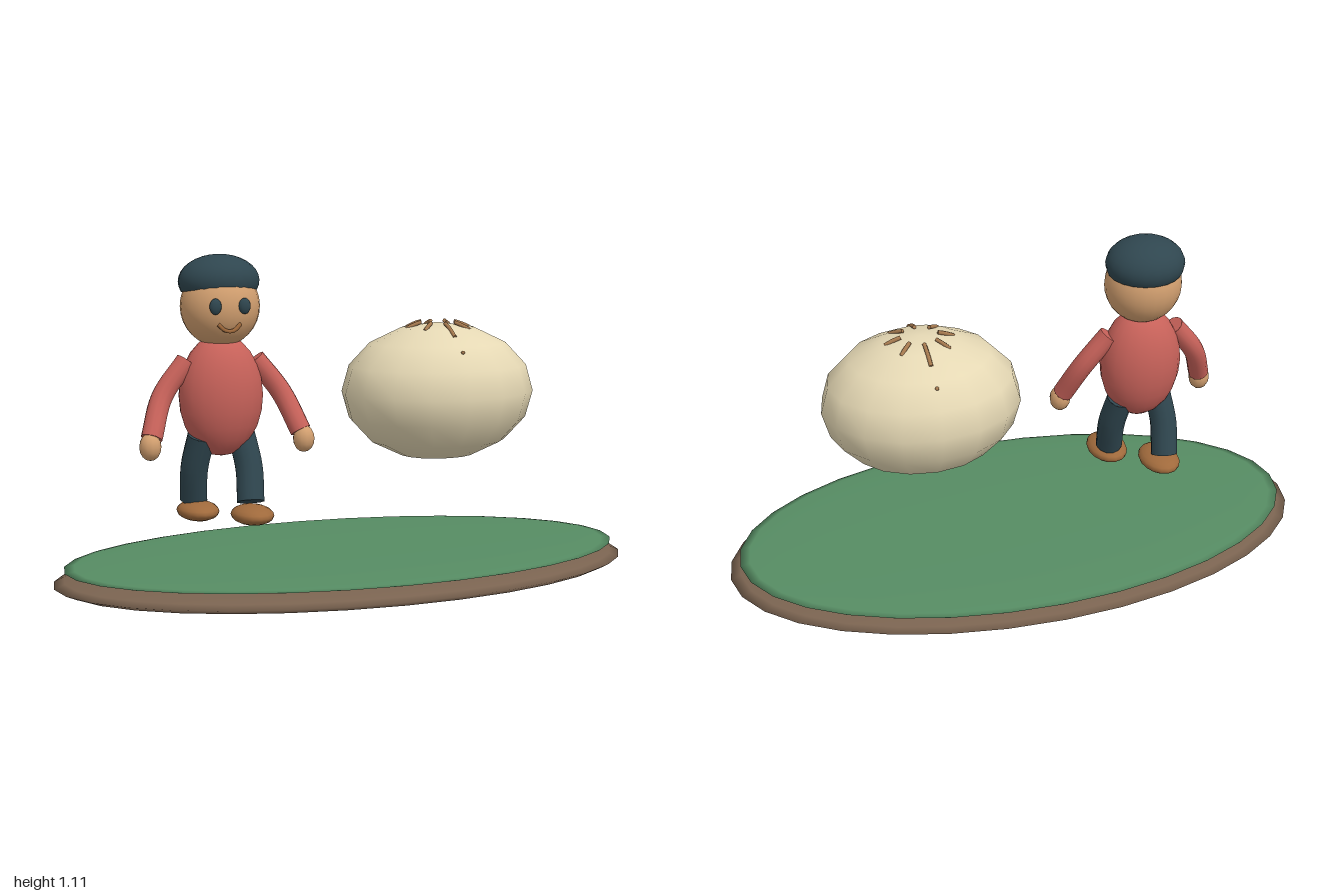
import * as THREE from 'three';

const mat = (color) => new THREE.MeshStandardMaterial({ color, side: THREE.DoubleSide });
const M = {
  soil: mat(0x7a6350), grass: mat(0x568c63), skin: mat(0xd3a070), shirt: mat(0xc8625a),
  navy: mat(0x2f464f), shoe: mat(0xa06a3c), dough: mat(0xe5d8b4), crease: mat(0xa87b50),
};

function add(parent, name, geometry, material, pos = [0, 0, 0]) {
  const mesh = new THREE.Mesh(geometry, material);
  mesh.name = name;
  mesh.position.set(...pos);
  parent.add(mesh);
  return mesh;
}

function ellipsoid(parent, name, material, pos, radii, w = 20, h = 14, theta = Math.PI) {
  const mesh = add(parent, name, new THREE.SphereGeometry(1, w, h, 0, Math.PI * 2, 0, theta), material, pos);
  mesh.scale.set(...radii);
  return mesh;
}

// Round limb through a few points, closed by flat discs
function limb(parent, name, material, points, radius, sides = 12) {
  const curve = new THREE.CatmullRomCurve3(points.map((p) => new THREE.Vector3(...p)));
  add(parent, name, new THREE.TubeGeometry(curve, 14, radius, sides), material);
  for (const t of [0, 1]) {
    const p = curve.getPointAt(t);
    const cap = add(parent, name + 'End', new THREE.CircleGeometry(radius, sides), material, p.toArray());
    const dir = curve.getTangentAt(t).multiplyScalar(t ? 1 : -1);
    cap.quaternion.setFromUnitVectors(new THREE.Vector3(0, 0, 1), dir);
  }
}

function createIsland() {
  const g = new THREE.Group();
  g.name = 'island';
  ellipsoid(g, 'soil', M.soil, [0, 0.058, 0], [1, 0.055, 0.545], 32, 12);
  ellipsoid(g, 'grass', M.grass, [0, 0.106, 0], [0.965, 0.016, 0.525], 32, 12);
  return g;
}

function createFigure() {
  const g = new THREE.Group();
  g.name = 'figure';
  g.position.x = -0.44;

  // Head, cap and face
  ellipsoid(g, 'head', M.skin, [0, 0.95, 0], [0.13, 0.132, 0.12], 24, 16);
  ellipsoid(g, 'cap', M.navy, [0, 1.03, -0.012], [0.133, 0.087, 0.118], 20, 10, Math.PI * 0.62).rotation.x = -0.08;
  limb(g, 'mouth', M.shoe, [[-0.037, 0.9, 0.107], [-0.018, 0.882, 0.111], [0, 0.877, 0.112],
    [0.018, 0.882, 0.111], [0.037, 0.9, 0.107]], 0.007, 6);

  ellipsoid(g, 'torso', M.shirt, [0, 0.66, 0], [0.14, 0.2, 0.108], 20, 12);

  // Paired parts; the left leg strides forward
  for (const s of [-1, 1]) {
    const side = s > 0 ? 'left' : 'right';
    ellipsoid(g, side + 'Eye', M.navy, [s * 0.048, 0.957, 0.117], [0.02, 0.026, 0.012], 12, 8);
    limb(g, side + 'Arm', M.shirt,
      [[s * 0.115, 0.775, 0], [s * 0.2, 0.665, 0.015], [s * 0.25, 0.54, 0.07]], 0.035);
    ellipsoid(g, side + 'Hand', M.skin, [s * 0.257, 0.515, 0.08], [0.036, 0.045, 0.036], 12, 8);
    limb(g, side + 'Leg', M.navy,
      [[s * 0.07, 0.53, -s * 0.01], [s * 0.086, 0.42, s * 0.024], [s * 0.08, 0.312, s * 0.06]], 0.046);
    ellipsoid(g, side + 'Shoe', M.shoe, [s * 0.074, 0.277, s > 0 ? 0.097 : -0.03], [0.068, 0.032, 0.098], 16, 10);
  }
  return g;
}

function createBun() {
  const g = new THREE.Group();
  g.name = 'bun';
  g.position.set(0.326, 0.64, 0);
  const R = [0.334, 0.235, 0.28];
  ellipsoid(g, 'dough', M.dough, [0, 0, 0], R, 16, 8);

  // Pleats radiating over the crown
  const onTop = (r, a, lift) => {
    const x = r * Math.sin(a), z = r * Math.cos(a);
    return [x, R[1] * Math.sqrt(1 - (x / R[0]) ** 2 - (z / R[2]) ** 2) + lift, z];
  };
  for (let i = 0; i < 8; i++) {
    const a = (i * Math.PI) / 4;
    const end = i % 4 ? 0.115 : 0.145;
    limb(g, 'pleat', M.crease, [onTop(0.062, a, 0.005), onTop((end + 0.062) / 2, a, 0.001), onTop(end, a, -0.005)], 0.007, 6);
  }
  for (const s of [-1, 1]) ellipsoid(g, 'pleatTip', M.crease, [0, 0.151, s * 0.212], [0.007, 0.006, 0.007], 8, 6);
  return g;
}

export function createModel() {
  const model = new THREE.Group();
  model.name = 'islandScene';
  model.add(createIsland(), createFigure(), createBun());
  return model;
}
